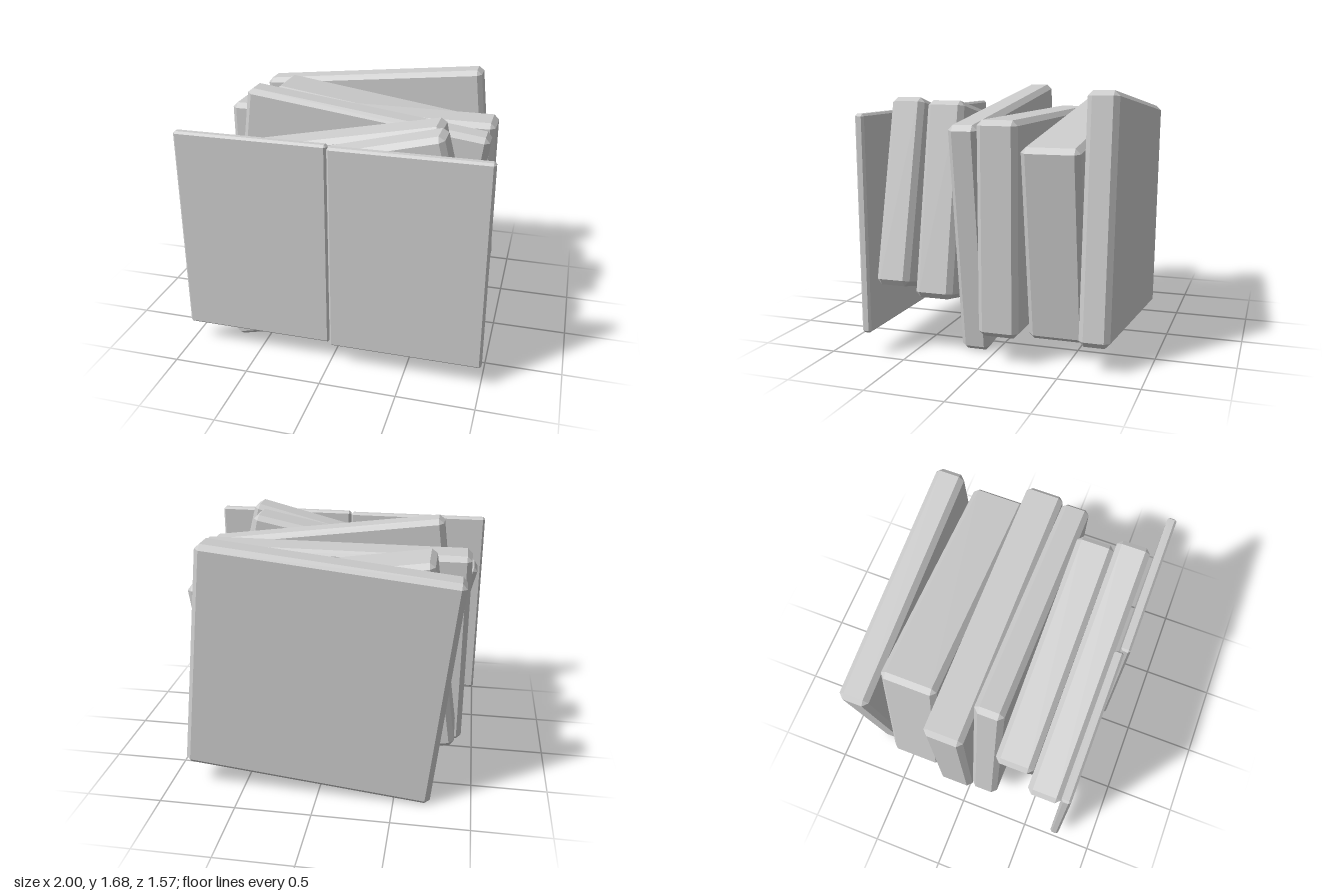
import * as THREE from 'three';
import { ConvexGeometry } from 'three/addons/geometries/ConvexGeometry.js';

// Box with every edge and corner cut flat by c
function chamferedBox(w, h, d, c) {
  const pts = [];
  for (const sx of [-1, 1]) for (const sy of [-1, 1]) for (const sz of [-1, 1]) {
    const x = w / 2, y = h / 2, z = d / 2;
    pts.push(
      new THREE.Vector3(sx * x, sy * (y - c), sz * (z - c)),
      new THREE.Vector3(sx * (x - c), sy * y, sz * (z - c)),
      new THREE.Vector3(sx * (x - c), sy * (y - c), sz * z)
    );
  }
  return new ConvexGeometry(pts);
}

export function createModel() {
  const group = new THREE.Group();
  const grey = new THREE.MeshStandardMaterial({ color: 0xcccccc });
  grey.name = 'light grey';
  const midY = 0.8425;

  function addSlab(name, w, h, zBack, zFront, chamfer, tilt = 0, x = 0) {
    const mesh = new THREE.Mesh(chamferedBox(w, h, zFront - zBack, chamfer), grey);
    mesh.name = name;
    mesh.position.set(x, midY, (zBack + zFront) / 2);
    mesh.rotation.z = THREE.MathUtils.degToRad(tilt);
    group.add(mesh);
  }

  // Stack of slabs, each twisted about the front-to-back axis
  // width, height, back z, front z, tilt in degrees
  const slabs = [
    [1.634, 1.523, -0.787, -0.593, 6],
    [1.577, 1.248, -0.591, -0.222, -8.4],
    [1.83, 1.33, -0.222, 0.036, 0],
    [1.634, 1.478, 0.036, 0.227, -7.5],
    [1.541, 1.255, 0.227, 0.476, 11.5],
    [1.708, 1.197, 0.476, 0.698, 14.2],
  ];
  slabs.forEach(([w, h, z0, z1, tilt], i) => addSlab(`slab${i + 1}`, w, h, z0, z1, 0.033, tilt));

  // Two thin upright front panels, one slightly ahead of the other
  addSlab('rightPanel', 0.995, 1.383, 0.695, 0.755, 0.014, 0, -0.5025);
  addSlab('leftPanel', 0.995, 1.383, 0.726, 0.787, 0.014, 0, 0.5025);

  return group;
}
